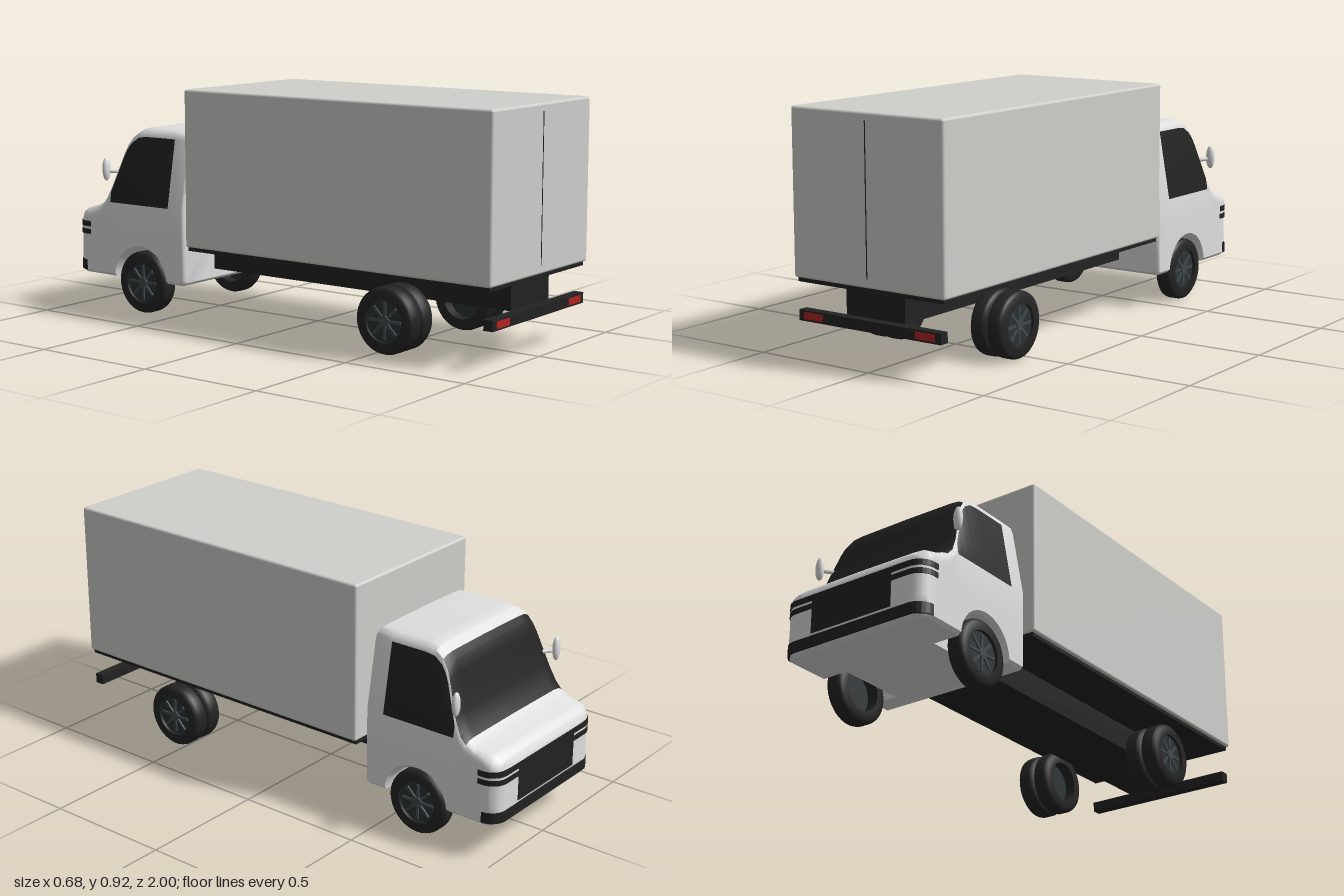
import * as THREE from 'three';
import { toCreasedNormals } from 'three/addons/utils/BufferGeometryUtils.js';
import { RoundedBoxGeometry } from 'three/addons/geometries/RoundedBoxGeometry.js';

const material = (name, color) => {
  const m = new THREE.MeshStandardMaterial({ color });
  m.name = name;
  return m;
};
const MAT = {
  cargo: material('cargoGrey', 0xcfcfcc),
  cab: material('cabWhite', 0xdfdfdf),
  black: material('trimBlack', 0x222222),
  tyre: material('tyreBlack', 0x242424),
  rim: material('rimDark', 0x2b3133),
  spoke: material('spokeGrey', 0x40494c),
  red: material('tailRed', 0xb02222),
};

function add(parent, name, geometry, mat, x = 0, y = 0, z = 0) {
  const mesh = new THREE.Mesh(geometry, mat);
  mesh.name = name;
  mesh.position.set(x, y, z);
  parent.add(mesh);
  return mesh;
}
// Box given by its limits on each axis
function block(parent, name, mat, x0, x1, y0, y1, z0, z1) {
  return add(parent, name, new THREE.BoxGeometry(x1 - x0, y1 - y0, z1 - z0), mat,
    (x0 + x1) / 2, (y0 + y1) / 2, (z0 + z1) / 2);
}
function interpolate(table, z) {
  let i = 0;
  while (i < table.length - 2 && z > table[i + 1][0]) i++;
  const [a, p] = table[i], [b, q] = table[i + 1];
  return p + (q - p) * THREE.MathUtils.clamp((z - a) / (b - a), 0, 1);
}

const CAB_HALF = 0.318, NOSE_R = 0.06, AXLE_Z = -0.65, AXLE_Y = 0.125, ARCH_R = 0.138;
const ROOF = [[-1, 0.355], [-0.99, 0.378], [-0.96, 0.402], [-0.9, 0.418], [-0.86, 0.436],
  [-0.835, 0.463], [-0.81, 0.515], [-0.783, 0.59], [-0.76, 0.655], [-0.745, 0.687],
  [-0.725, 0.714], [-0.69, 0.737], [-0.65, 0.742], [-0.5, 0.742], [-0.435, 0.74], [-0.42, 0.725]];
const FLOOR = [[-1, 0.165], [-0.985, 0.147], [-0.96, 0.137], [-0.435, 0.135], [-0.42, 0.147]];

// Half cross-section of the cab at z, from floor centre round to roof centre
function cabSection(z) {
  const top = interpolate(ROOF, z), bottom = interpolate(FLOOR, z);
  let w = CAB_HALF;
  const nose = -1 + NOSE_R - z, rear = z + 0.435;
  if (nose > 0) w += Math.sqrt(Math.max(0, NOSE_R ** 2 - nose ** 2)) - NOSE_R;
  if (rear > 0) w += Math.sqrt(Math.max(0, 0.015 ** 2 - rear ** 2)) - 0.015;
  const arch = Math.max(bottom, AXLE_Y + Math.sqrt(Math.max(0, ARCH_R ** 2 - (z - AXLE_Z) ** 2)));
  const belt = Math.min(0.438, top - 0.05), eave = Math.min(0.708, top - 0.034);
  const xe = w - Math.max(0, eave - 0.44) * 0.18;
  const pts = [[0, bottom], [0.2, bottom], [0.2, arch], [w - 0.012, arch], [w, arch + 0.012],
    [w, Math.max(arch + 0.014, belt - 0.12)], [w, belt], [xe, eave]];
  for (const t of [1 / 3, 2 / 3, 1]) {
    pts.push([xe - 0.065 * t * t, eave + (top - eave) * (2 * t - t * t)]);
  }
  pts.push([0, top + 0.002]);
  return pts;
}

// Cab shell lofted from front to back, with glass as separate faces
function cabGeometry() {
  let zs = [...ROOF, ...FLOOR].map(p => p[0]);
  for (let a = 0; a <= 180; a += 12) zs.push(AXLE_Z + ARCH_R * Math.cos(a * Math.PI / 180));
  for (let a = 15; a <= 90; a += 15) zs.push(-1 + NOSE_R * (1 - Math.cos(a * Math.PI / 180)));
  zs.push(-0.431, -0.425);
  zs = zs.sort((a, b) => a - b).filter((z, i, s) => i === 0 || z - s[i - 1] > 0.0005);
  const rings = zs.map(z => {
    const half = cabSection(z);
    const other = half.slice(1, -1).reverse().map(([x, y]) => [-x, y]);
    return [...half, ...other].map(([x, y]) => [x, y, z]);
  });
  const n = rings[0].length, paint = [], glass = [];
  for (let i = 0; i < rings.length - 1; i++) {
    const mid = (zs[i] + zs[i + 1]) / 2;
    for (let j = 0; j < n; j++) {
      const k = (j + 1) % n, seg = j < n / 2 ? j : n - 1 - j;
      const side = seg === 6 && mid > -0.81 && mid < -0.5;
      const screen = seg >= 8 && mid > -0.86 && mid < -0.725;
      const a = rings[i][j], b = rings[i][k], c = rings[i + 1][k], d = rings[i + 1][j];
      (side || screen ? glass : paint).push(a, b, c, a, c, d);
    }
  }
  const first = rings[0], last = rings[rings.length - 1];
  for (let j = 0; j < n; j++) {
    const k = (j + 1) % n;
    paint.push([0, 0.27, zs[0]], first[k], first[j]);
    paint.push([0, 0.45, zs[zs.length - 1]], last[j], last[k]);
  }
  const g = new THREE.BufferGeometry();
  g.setAttribute('position', new THREE.Float32BufferAttribute([...paint, ...glass].flat(), 3));
  g.addGroup(0, paint.length, 0);
  g.addGroup(paint.length, glass.length, 1);
  return toCreasedNormals(g, 0.75);
}

// Thin band wrapped round one nose corner, from the side at zEnd to xIn on the front
function noseBand(y0, y1, zEnd, xIn) {
  const path = o => {
    const p = [[CAB_HALF + o, zEnd]];
    for (let a = 0; a <= 90; a += 15) {
      const t = a * Math.PI / 180;
      p.push([CAB_HALF - NOSE_R + (NOSE_R + o) * Math.cos(t), -1 + NOSE_R - (NOSE_R + o) * Math.sin(t)]);
    }
    p.push([xIn, -1 - o]);
    return p;
  };
  const pts = [...path(0.003), ...path(-0.005).reverse()].map(([x, z]) => new THREE.Vector2(x, -z));
  const g = new THREE.ExtrudeGeometry(new THREE.Shape(pts), { depth: y1 - y0, bevelEnabled: false });
  return g.rotateX(-Math.PI / 2).translate(0, y0, 0);
}

// Wheel with its axis along x, outer face towards +x
function wheel(name, width) {
  const g = new THREE.Group(), h = width / 2;
  g.name = name;
  const profile = [[0.08, -h], [0.112, -h], [0.122, -h + 0.007], [0.125, -h + 0.016],
    [0.125, h - 0.016], [0.122, h - 0.007], [0.112, h], [0.08, h], [0.08, -h]];
  const tyre = new THREE.LatheGeometry(profile.map(p => new THREE.Vector2(...p)), 40);
  add(g, 'tyre', toCreasedNormals(tyre.rotateZ(-Math.PI / 2), 0.7), MAT.tyre);
  const disc = (r, d) => new THREE.CylinderGeometry(r, r, d, 32).rotateZ(Math.PI / 2);
  add(g, 'rimDisc', disc(0.082, 0.012), MAT.rim, h - 0.018);
  add(g, 'hub', disc(0.02, 0.016), MAT.spoke, h - 0.011);
  for (let i = 0; i < 8; i++) {
    const spoke = new THREE.BoxGeometry(0.008, 0.055, 0.01).translate(0, 0.042, 0);
    add(g, 'spoke', spoke.rotateX(i * Math.PI / 4), MAT.spoke, h - 0.01);
  }
  return g;
}

export function createModel() {
  const truck = new THREE.Group();
  truck.name = 'boxTruck';

  // Cargo body and rear door seam
  add(truck, 'cargoBox', new RoundedBoxGeometry(0.68, 0.615, 1.39, 3, 0.01), MAT.cargo, 0, 0.6075, 0.305);
  block(truck, 'doorSeam', MAT.black, -0.002, 0.002, 0.333, 0.885, 0.997, 1.001);

  // Chassis and rear bumper
  block(truck, 'cargoFloor', MAT.black, -0.328, 0.328, 0.285, 0.303, -0.385, 0.99);
  block(truck, 'frame', MAT.black, -0.132, 0.132, 0.182, 0.29, -0.45, 0.957);
  block(truck, 'rearBumper', MAT.black, -0.32, 0.32, 0.145, 0.185, 0.96, 0.998);

  // Cab with glass and front trim
  add(truck, 'cab', cabGeometry(), [MAT.cab, MAT.black]);
  block(truck, 'grille', MAT.black, -0.18, 0.18, 0.2, 0.35, -1.003, -0.995);

  // Parts repeated on both sides
  for (const s of [1, -1]) {
    const side = new THREE.Group();
    side.name = s > 0 ? 'leftParts' : 'rightParts';
    truck.add(side);
    block(side, 'tailLight', MAT.red, s > 0 ? 0.21 : -0.296, s > 0 ? 0.296 : -0.21, 0.152, 0.178, 0.995, 1.0);

    const trim = [['upperLampStripe', 0.328, 0.35, -0.92, 0.18],
      ['lowerLampStripe', 0.297, 0.317, -0.92, 0.18], ['frontBumper', 0.148, 0.19, -0.962, 0]];
    for (const [name, ...size] of trim) {
      const g = noseBand(...size);
      // Half-turn about z swaps sides without reversing faces
      if (s < 0) g.translate(0, -(size[0] + size[1]) / 2, 0).rotateZ(Math.PI).translate(0, (size[0] + size[1]) / 2, 0);
      add(side, name, g, MAT.black);
    }

    // Mirror on a short arm
    const head = new THREE.SphereGeometry(1, 20, 14).scale(0.019, 0.047, 0.014);
    add(side, 'mirror', head, MAT.cab, s * 0.323, 0.572, -0.822);
    const arm = new THREE.LineCurve3(new THREE.Vector3(s * 0.32, 0.565, -0.82), new THREE.Vector3(s * 0.275, 0.56, -0.775));
    add(side, 'mirrorArm', new THREE.TubeGeometry(arm, 1, 0.008, 8), MAT.cab);

    // Single front wheel and twin rear wheels
    for (const [name, x, z, width] of [['frontWheel', 0.275, AXLE_Z, 0.07],
      ['rearOuterWheel', 0.296, 0.545, 0.068], ['rearInnerWheel', 0.223, 0.545, 0.068]]) {
      const w = wheel(name, width);
      w.position.set(s * x, AXLE_Y, z);
      if (s < 0) w.rotation.y = Math.PI;
      side.add(w);
    }
  }
  return truck;
}
